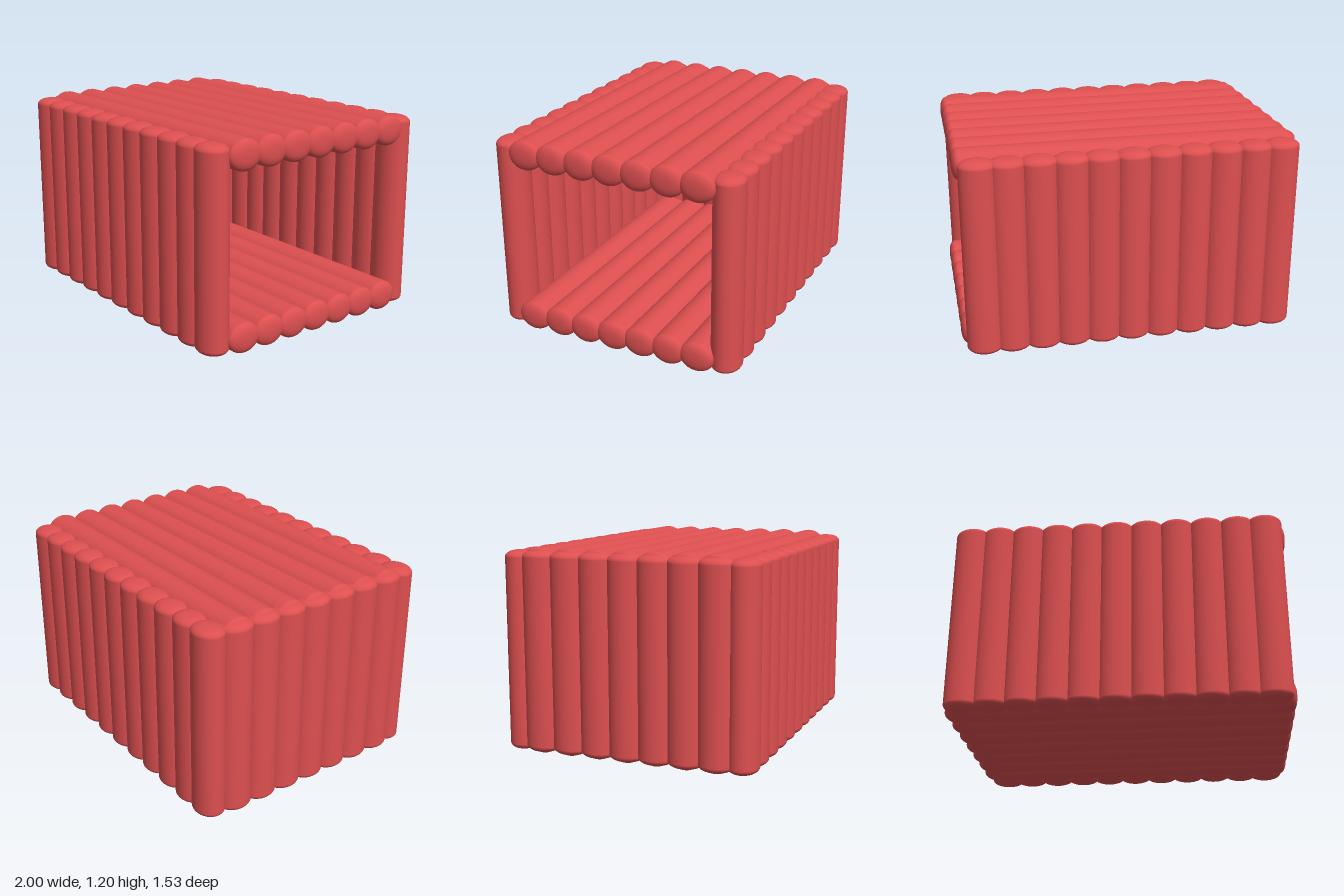
import * as THREE from 'three';

const WIDE = 0.105;  // half width of a log along its wall, so neighbours overlap
const DEEP = 0.089;  // half thickness of a log across its wall
const STEP = 0.177;  // spacing of the logs

// Upright log with softly domed ends; oval cross-section, wide along x
function logGeometry(length) {
  const dome = 0.04, half = length / 2;
  const end = [];
  for (let i = 0; i <= 8; i++) {
    const a = (i / 8) * Math.PI / 2;
    end.push([Math.pow(Math.sin(a), 0.75), half - dome + dome * Math.cos(a)]);
  }
  const points = [
    ...end.map(([r, y]) => new THREE.Vector2(r, -y)),
    ...end.reverse().map(([r, y]) => new THREE.Vector2(r, y)),
  ];
  const geometry = new THREE.LatheGeometry(points, 40);
  geometry.scale(WIDE, 1, DEEP);
  return geometry;
}

export function createModel() {
  const model = new THREE.Group();
  const material = new THREE.MeshStandardMaterial({ color: 0xdd4f50 });

  // A row of logs: place(offset) gives the position of each one
  function addWall(name, geometry, count, place) {
    const wall = new THREE.Group();
    wall.name = name;
    for (let i = 0; i < count; i++) {
      const log = new THREE.Mesh(geometry, material);
      log.name = name + 'Log';
      log.position.set(...place((i - (count - 1) / 2) * STEP));
      wall.add(log);
    }
    model.add(wall);
  }

  // Front and back walls, with the corner logs drawn in slightly
  const upright = logGeometry(1.17);
  const inset = (x) => THREE.MathUtils.clamp(x, -0.87, 0.87);
  addWall('frontWall', upright, 11, (x) => [inset(x), 0.591, 0.675]);
  addWall('backWall', upright, 11, (x) => [inset(x), 0.591, -0.675]);

  // Closed end wall; the opposite end stays open
  const endLog = logGeometry(1.17).rotateY(Math.PI / 2);
  addWall('endWall', endLog, 7, (z) => [-0.911, 0.596, z]);

  // Floor and roof logs lie along x
  const lying = logGeometry(1.965).rotateY(Math.PI / 2).rotateZ(Math.PI / 2);
  addWall('floor', lying, 7, (z) => [0.0175, 0.091, z]);
  addWall('roof', lying, 7, (z) => [0.0175, 1.109, z]);

  return model;
}
